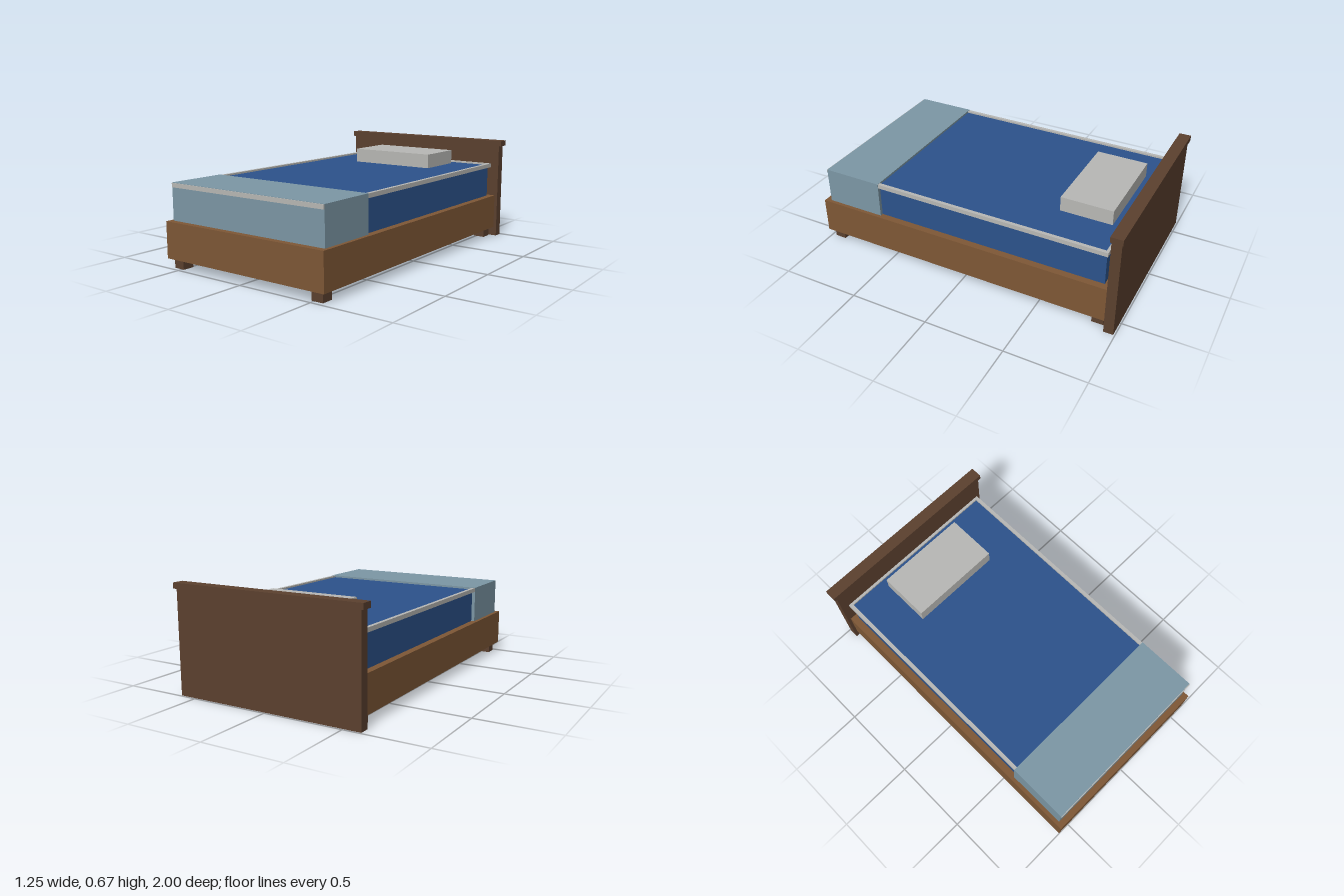
import * as THREE from 'three';

export function createModel() {
  const bed = new THREE.Group();
  bed.name = 'bed';

  const mat = (name, color) => {
    const m = new THREE.MeshStandardMaterial({ color });
    m.name = name;
    return m;
  };
  const wood = mat('warm wood', 0x7f5836);
  const darkWood = mat('dark wood', 0x5c412f);
  const blue = mat('blue bedding', 0x2c538c);
  const paleBlue = mat('pale blue blanket', 0x7d98a6);
  const linen = mat('light linen', 0xb9b9b6);

  // Box given by its extents along each axis
  const box = (name, material, [x0, x1], [y0, y1], [z0, z1]) => {
    const mesh = new THREE.Mesh(new THREE.BoxGeometry(x1 - x0, y1 - y0, z1 - z0), material);
    mesh.position.set((x0 + x1) / 2, (y0 + y1) / 2, (z0 + z1) / 2);
    mesh.name = name;
    bed.add(mesh);
    return mesh;
  };

  // Base and headboard
  box('bedFrame', wood, [-0.588, 0.588], [0.06, 0.285], [-0.93, 1]);
  box('headboard', darkWood, [-0.608, 0.608], [0, 0.632], [-0.99, -0.93]);
  box('headboardCap', darkWood, [-0.625, 0.625], [0.632, 0.667], [-1, -0.926]);

  // Four feet
  for (const side of [-1, 1]) {
    for (const z of [0.934, -0.876]) {
      const foot = box('foot', darkWood, [-0.037, 0.037], [0, 0.06], [z - 0.037, z + 0.037]);
      foot.position.x = side * 0.522;
    }
  }

  // Bedding and the blanket across its foot
  box('mattressCover', blue, [-0.545, 0.545], [0.285, 0.5], [-0.895, 0.59]);
  box('footBlanket', paleBlue, [-0.566, 0.566], [0.285, 0.513], [0.58, 0.962]);

  // Linen border around the top edge
  const rimY = [0.485, 0.511];
  for (const side of [-1, 1]) {
    const rim = box('sideBorder', linen, [-0.011, 0.011], rimY, [-0.905, 0.58]);
    rim.position.x = side * 0.553;
  }
  box('headBorder', linen, [-0.542, 0.542], rimY, [-0.905, -0.888]);
  box('footBorder', linen, [-0.564, 0.564], rimY, [0.955, 0.967]);

  // Pillow
  box('pillow', linen, [-0.294, 0.294], [0.5, 0.592], [-0.83, -0.507]);

  return bed;
}
